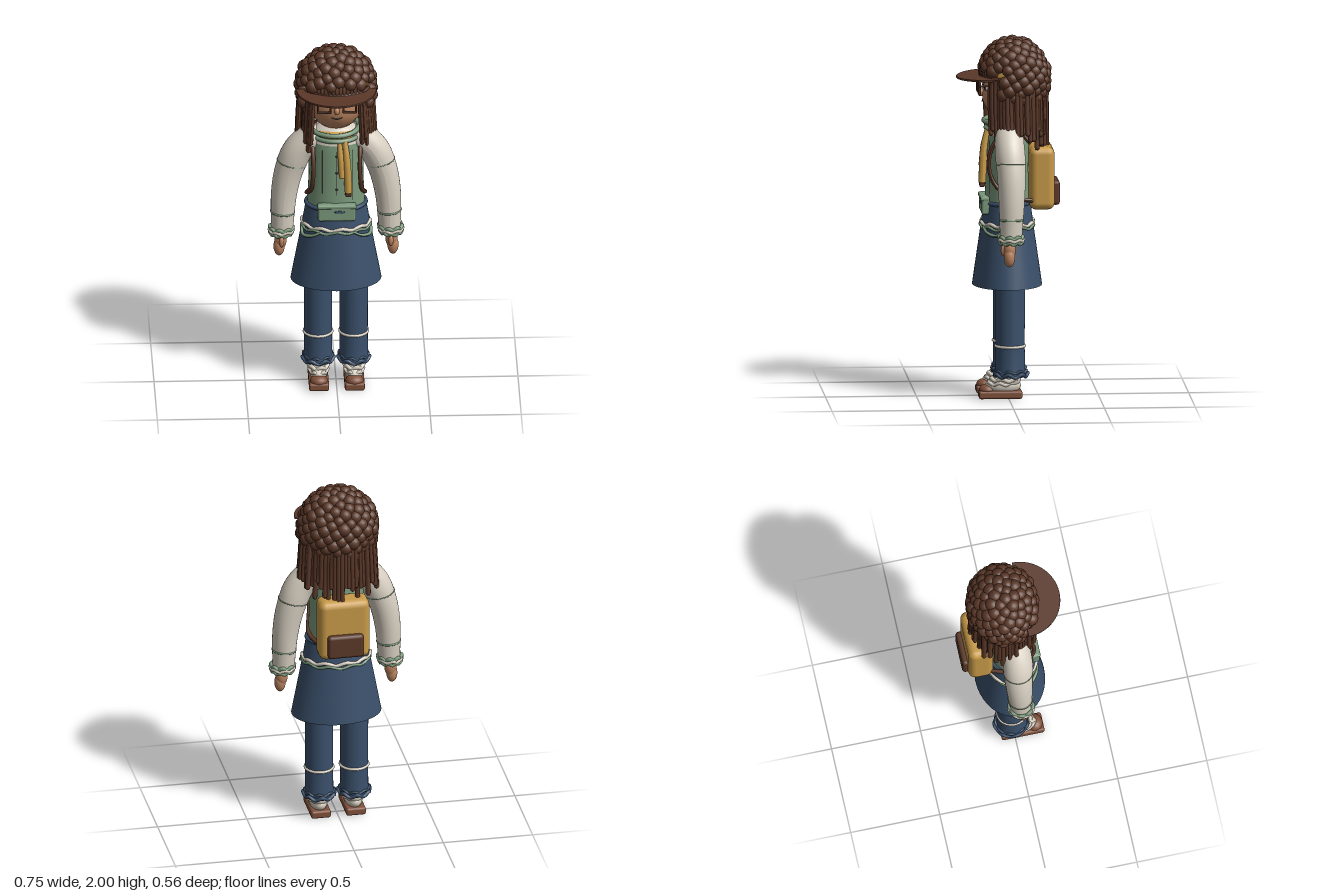
import * as THREE from 'three';
import { RoundedBoxGeometry } from 'three/addons/geometries/RoundedBoxGeometry.js';

const mat = (name, color, side = THREE.FrontSide) => {
  const m = new THREE.MeshStandardMaterial({ color, side });
  m.name = name;
  return m;
};
const V = (x, y, z) => new THREE.Vector3(x, y, z);

export function createModel() {
  const hair = mat('hair brown', 0x5b3828);
  const denim = mat('denim blue', 0x3a506b, THREE.DoubleSide);
  const cream = mat('cream', 0xd8d0c2);
  const green = mat('sage green', 0x7b9a7c);
  const gold = mat('mustard', 0xc89a48);
  const skin = mat('skin', 0xbb8460);
  const leather = mat('shoe leather', 0x80503a);
  const dark = mat('dark', 0x2b2120);
  const root = new THREE.Group();
  root.name = 'figure';

  let seed = 7;
  const rnd = () => (seed = (seed * 16807) % 2147483647) / 2147483647;

  const add = (name, geo, material, x = 0, y = 0, z = 0, parent = root) => {
    const m = new THREE.Mesh(geo, material);
    m.name = name;
    m.position.set(x, y, z);
    parent.add(m);
    return m;
  };
  const ballGeo = new THREE.SphereGeometry(1, 20, 12);
  const ball = (name, material, x, y, z, rx, ry, rz, parent) =>
    add(name, ballGeo, material, x, y, z, parent).scale.set(rx, ry, rz);
  const box = (name, material, x, y, z, w, h, d, r = 0.008, parent = root) =>
    add(name, new RoundedBoxGeometry(w, h, d, 2, r), material, x, y, z, parent);
  const lathe = (name, material, pts, zScale, x = 0, z = 0, parent = root) => {
    const g = new THREE.LatheGeometry(pts.map(([r, y]) => new THREE.Vector2(r, y)), 40);
    add(name, g, material, x, 0, z, parent).scale.z = zScale;
  };
  // Tube whose radius is interpolated along its length
  const taper = (name, material, pts, radii, sides = 20, parent = root, segs = 24) => {
    const curve = new THREE.CatmullRomCurve3(pts);
    const g = new THREE.TubeGeometry(curve, segs, 1, sides);
    const p = g.attributes.position;
    for (let i = 0; i < p.count; i++) {
      const t = Math.floor(i / (sides + 1)) / segs;
      const f = t * (radii.length - 1), k = Math.min(Math.floor(f), radii.length - 2);
      const r = THREE.MathUtils.lerp(radii[k], radii[k + 1], f - k);
      const c = curve.getPointAt(t);
      const v = V(0, 0, 0).fromBufferAttribute(p, i).sub(c).multiplyScalar(r).add(c);
      p.setXYZ(i, v.x, v.y, v.z);
    }
    g.computeVertexNormals();
    add(name, g, material, 0, 0, 0, parent);
  };
  // Closed oval band, optionally wavy
  const band = (name, material, x, y, z, rx, rz, tube, amp = 0, waves = 9, parent = root) => {
    const pts = [];
    for (let i = 0; i < 54; i++) {
      const a = (i / 54) * Math.PI * 2, w = Math.sin(a * waves);
      pts.push(V((rx + w * amp * 0.4) * Math.cos(a), w * amp, (rz + w * amp * 0.4) * Math.sin(a)));
    }
    return add(name, new THREE.TubeGeometry(new THREE.CatmullRomCurve3(pts, true), 64, tube, 7, true), material, x, y, z, parent);
  };

  // Legs, feet and arms on both sides
  for (const s of [-1, 1]) {
    const side = s > 0 ? 'left' : 'right', leg = new THREE.Group(), arm = new THREE.Group();
    leg.name = side + 'Leg';
    arm.name = side + 'Arm';
    root.add(leg, arm);
    const lx = s * 0.098;
    lathe('trouserLeg', denim, [[0.086, 0.12], [0.078, 0.17], [0.077, 0.3], [0.078, 0.62], [0.08, 0.92]], 1.04, lx, -0.01, leg);
    band('trouserHem', denim, lx, 0.13, -0.014, 0.086, 0.09, 0.01, 0.009, 7, leg);
    band('trouserHemUpper', denim, lx, 0.15, -0.014, 0.08, 0.085, 0.007, 0.006, 8, leg);
    band('trouserStripe', cream, lx, 0.29, -0.01, 0.077, 0.08, 0.008, 0, 9, leg);
    box('sole', leather, lx, 0.022, 0.045, 0.11, 0.044, 0.24, 0.012, leg);
    ball('toeCap', leather, lx, 0.045, 0.118, 0.05, 0.033, 0.045, leg);
    ball('sock', cream, lx, 0.07, 0.03, 0.052, 0.052, 0.1, leg);
    ball('ankle', cream, lx, 0.11, -0.01, 0.05, 0.06, 0.06, leg);
    band('sockRuffle', cream, lx, 0.105, 0.02, 0.053, 0.075, 0.012, 0.007, 6, leg);
    band('sockRuffleLower', cream, lx, 0.083, 0.035, 0.05, 0.078, 0.01, 0.006, 7, leg);

    ball('shoulder', cream, s * 0.14, 1.465, 0, 0.082, 0.078, 0.08, arm);
    taper('sleeve', cream, [V(s * 0.14, 1.47, 0), V(s * 0.205, 1.4, 0), V(s * 0.255, 1.28, -0.005), V(s * 0.285, 1.13, -0.005), V(s * 0.296, 0.91, 0)],
      [0.08, 0.083, 0.076, 0.068, 0.06], 28, arm);
    band('sleeveSeam', green, s * 0.243, 1.318, -0.004, 0.081, 0.08, 0.003, 0, 9, arm).rotation.z = s * 0.2;
    band('sleeveBand', green, s * 0.293, 1.02, -0.003, 0.063, 0.064, 0.006, 0, 9, arm).rotation.z = s * 0.06;
    band('cuffTop', green, s * 0.3, 0.925, 0, 0.062, 0.063, 0.011, 0.006, 8, arm);
    band('cuffMiddle', cream, s * 0.301, 0.912, 0, 0.065, 0.066, 0.01, 0.005, 7, arm);
    band('cuffEdge', green, s * 0.302, 0.897, 0, 0.06, 0.062, 0.011, 0.006, 9, arm);
    ball('palm', skin, s * 0.305, 0.855, 0.008, 0.034, 0.06, 0.034, arm);
    ball('fingers', skin, s * 0.313, 0.815, 0.01, 0.031, 0.055, 0.031, arm);
    ball('thumb', skin, s * 0.3, 0.852, 0.043, 0.014, 0.03, 0.014, arm);

    // Backpack strap over the chest
    taper('strap', hair, [V(s * 0.13, 1.42, -0.12), V(s * 0.135, 1.5, -0.03), V(s * 0.13, 1.42, 0.08), V(s * 0.128, 1.3, 0.11),
      V(s * 0.138, 1.19, 0.075), V(s * 0.16, 1.12, -0.03), V(s * 0.13, 1.1, -0.13)], [0.012, 0.012], 10, root, 40);
  }

  // Torso, vest and skirt
  lathe('vest', green, [[0.165, 0.98], [0.158, 1.1], [0.15, 1.25], [0.152, 1.4], [0.145, 1.46]], 0.78);
  lathe('shirtYoke', cream, [[0.145, 1.46], [0.14, 1.49], [0.115, 1.53], [0.07, 1.56], [0, 1.57]], 0.78);
  lathe('skirt', denim, [[0.25, 0.62], [0.222, 0.77], [0.19, 0.94], [0.17, 1.06], [0.164, 1.08]], 0.77);
  band('belt', denim, 0, 1.08, 0, 0.164, 0.127, 0.012);
  band('waistFrill', cream, 0, 0.965, 0, 0.186, 0.144, 0.01, 0.007, 10);
  band('waistFrillLower', green, 0, 0.947, 0, 0.189, 0.147, 0.008, 0.008, 9);
  for (const s of [-1, 1])
    taper('sashLoop', green, [V(s * 0.19, 0.95, 0.02), V(s * 0.185, 0.915, 0.07), V(s * 0.135, 0.925, 0.12), V(s * 0.09, 0.95, 0.137)], [0.008, 0.01, 0.007], 8);
  for (const x of [-0.08, 0, 0.085])
    box('vestSeam', dark, x, 1.28, 0.119 - Math.abs(x) * 0.22, 0.003, 0.3, 0.003, 0.001);
  for (let i = 0; i < 3; i++) ball('vestButton', dark, 0, 1.2 + i * 0.1, 0.12, 0.007, 0.007, 0.005);

  // Waist pouch
  box('pouch', green, 0, 1.07, 0.125, 0.21, 0.1, 0.045, 0.012);
  box('pouchFlap', green, 0, 1.107, 0.128, 0.214, 0.022, 0.05, 0.008);
  ball('pouchClasp', denim, 0.015, 1.077, 0.148, 0.032, 0.007, 0.004);

  // Neck, collar and scarf
  add('neck', new THREE.CylinderGeometry(0.06, 0.07, 0.14, 24), skin, 0, 1.53, 0);
  lathe('scarfWrap', gold, [[0.128, 1.485], [0.122, 1.51], [0.11, 1.53], [0.06, 1.545]], 0.9);
  band('collarLower', green, 0, 1.49, 0.005, 0.125, 0.112, 0.013);
  band('collarUpper', green, -0.008, 1.54, 0.005, 0.135, 0.122, 0.014).rotation.x = 0.1;
  band('collarTrim', cream, -0.005, 1.517, 0.005, 0.13, 0.115, 0.007, 0.004, 8);
  for (const [x0, x1, y1, r] of [[0.045, 0.063, 1.2, 0.021], [0.015, 0.028, 1.29, 0.017]]) {
    taper('scarfTail', gold, [V(x0, 1.49, 0.11), V((x0 + x1) / 2, 1.4, 0.13), V(x1, y1, 0.142)], [r * 0.7, r, r], 14);
    ball('scarfTip', gold, x1, y1, 0.142, r, 0.012, r);
  }
  box('scarfTassel', hair, 0.063, 1.185, 0.142, 0.034, 0.03, 0.03, 0.008);

  // Backpack
  box('backpack', gold, 0, 1.22, -0.185, 0.285, 0.35, 0.14, 0.04);
  box('backpackPocket', hair, 0, 1.135, -0.262, 0.2, 0.135, 0.046, 0.018);

  // Head and face
  const head = new THREE.Group();
  head.name = 'head';
  root.add(head);
  ball('face', skin, 0, 1.68, -0.01, 0.148, 0.155, 0.148, head);
  ball('nose', skin, 0, 1.685, 0.14, 0.015, 0.022, 0.016, head);
  taper('mouth', dark, [V(-0.03, 1.643, 0.133), V(0, 1.636, 0.136), V(0.03, 1.643, 0.133)], [0.002, 0.004, 0.002], 8, head, 10);
  for (const s of [-1, 1]) {
    ball('eye', cream, s * 0.07, 1.718, 0.115, 0.022, 0.014, 0.012, head);
    ball('pupil', dark, s * 0.07, 1.718, 0.124, 0.01, 0.012, 0.008, head);
    box('eyebrow', hair, s * 0.07, 1.765, 0.118, 0.06, 0.01, 0.02, 0.004, head);
    for (const k of [-1, 1]) {
      box('glassesRim', hair, s * 0.07, 1.718 + k * 0.031, 0.158, 0.078, 0.012, 0.012, 0.004, head);
      box('glassesRimSide', hair, s * (0.07 + k * 0.034), 1.718, 0.158, 0.011, 0.068, 0.012, 0.004, head);
    }
    box('glassesArm', hair, s * 0.122, 1.738, 0.09, 0.01, 0.011, 0.14, 0.004, head);
    box('glassesHinge', hair, s * 0.113, 1.738, 0.158, 0.026, 0.011, 0.012, 0.004, head);
  }
  box('glassesBridge', hair, 0, 1.73, 0.158, 0.07, 0.01, 0.012, 0.004, head);

  // Cap and curved brim
  const dome = add('cap', new THREE.SphereGeometry(1, 32, 14, 0, Math.PI * 2, 0, Math.PI / 2), gold, 0, 1.775, -0.03, head);
  dome.scale.set(0.185, 0.185, 0.17);
  band('capBand', hair, 0, 1.78, -0.025, 0.195, 0.172, 0.012, 0, 9, head);
  const shape = new THREE.Shape();
  shape.absellipse(0, 0, 0.218, 0.215, 0, Math.PI, false);
  shape.absellipse(0, 0, 0.18, 0.085, Math.PI, 0, true);
  const brim = add('brim', new THREE.ExtrudeGeometry(shape, { depth: 0.007, bevelEnabled: true, bevelSize: 0.002, bevelThickness: 0.002, bevelSegments: 2, curveSegments: 32 }),
    hair, 0, 1.785, 0.063, head);
  brim.rotation.x = Math.PI / 2 + 0.04;

  // Curls packed over the cap
  const curls = new THREE.Group();
  curls.name = 'curls';
  head.add(curls);
  const curlGeo = new THREE.SphereGeometry(1, 14, 10);
  for (let i = 0; i < 200; i++) {
    const h = 1 - (2 * (i + 0.3)) / 200, a = i * 2.39996, q = Math.sqrt(1 - h * h);
    const x = 0.198 * q * Math.sin(a), y = 1.762 + 0.2 * h, z = 0.175 * q * Math.cos(a);
    if (y < 1.65 || (z > 0.07 && y < 1.815)) continue;
    const r = 0.033 + rnd() * 0.008, k = 0.97 + rnd() * 0.05;
    add('curl', curlGeo, hair, x * k, y, z * k - 0.035, curls).scale.setScalar(r);
  }
  ball('hairBase', hair, 0, 1.72, -0.06, 0.178, 0.12, 0.155, curls);

  // Hanging locks around the sides and back
  const locks = new THREE.Group();
  locks.name = 'locks';
  head.add(locks);
  const tipGeo = new THREE.SphereGeometry(1, 8, 6);
  for (let i = 0; i < 50; i++) {
    const a = 0.72 + (i / 49) * (Math.PI * 2 - 1.44), k = 0.88 + rnd() * 0.14;
    const x = 0.205 * k * Math.sin(a), z = -0.035 + 0.185 * k * Math.cos(a), end = 1.37 + rnd() * 0.14;
    const r = 0.011 + rnd() * 0.004;
    taper('lock', hair, [V(x * 0.96, 1.77, z), V(x, 1.62, z), V(x * 1.05, end, z - 0.004)], [r, r * 1.1, r], 8, locks, 6);
    add('lockTip', tipGeo, hair, x * 1.05, end, z - 0.004, locks).scale.setScalar(r);
  }
  // Short fringe under the brim
  for (let i = 0; i < 15; i++) {
    const x = -0.14 + i * 0.02, z = 0.148 - x * x * 2.6, y = 1.76 + rnd() * 0.015;
    taper('fringe', hair, [V(x, 1.83, z - 0.01), V(x, 1.8, z), V(x, y, z)], [0.011, 0.011, 0.005], 8, head, 6);
  }
  return root;
}
